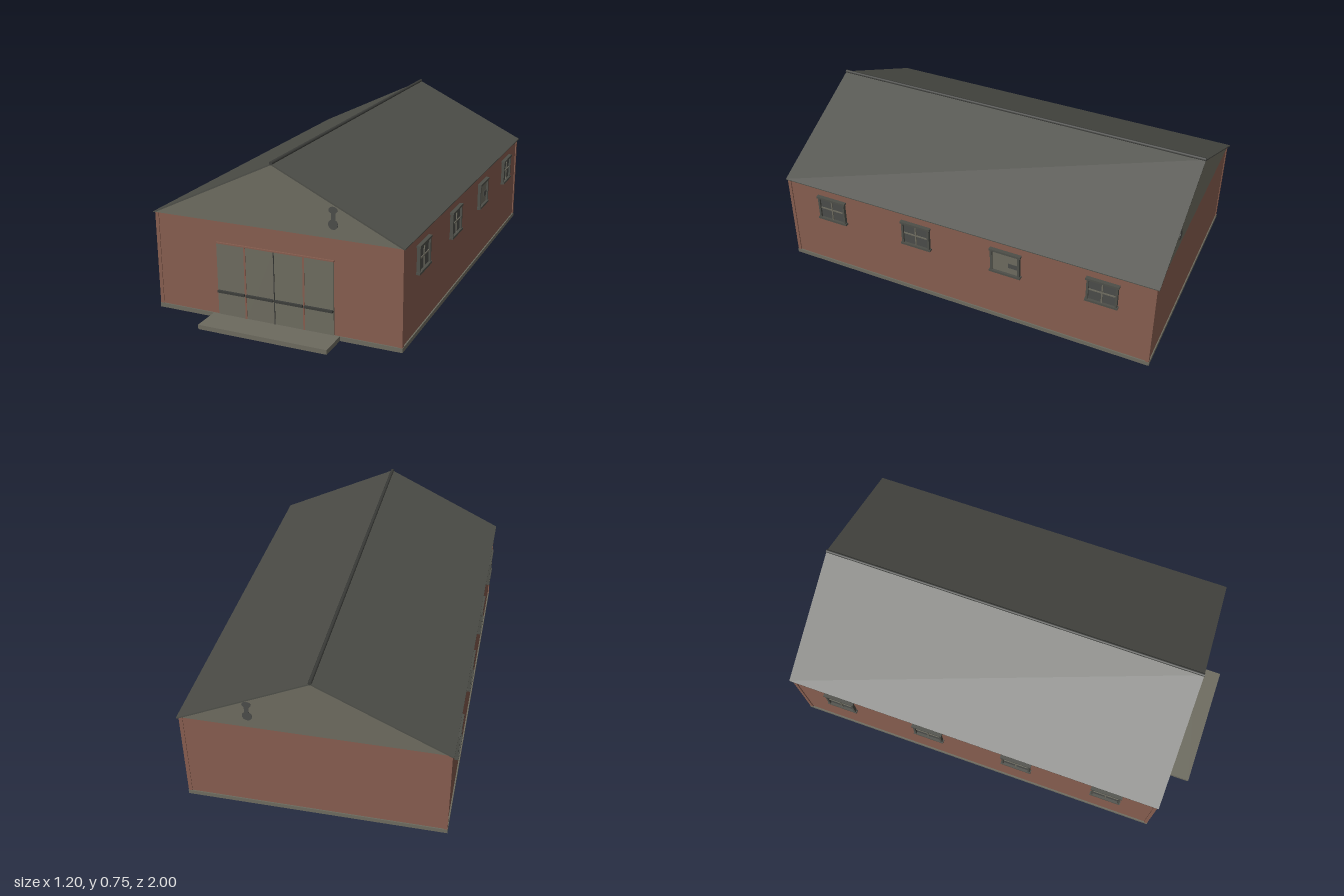
import * as THREE from 'three';

const mat = (name, color) => {
  const m = new THREE.MeshStandardMaterial({ color });
  m.name = name;
  return m;
};

export function createModel() {
  const brick = mat('brick', 0x855c4e);
  const stone = mat('stone', 0x6c6a5e);
  const slate = mat('slate', 0x4d4e48);
  const trim = mat('dark trim', 0x3b3c39);
  const glass = mat('dark glass', 0x4a4b48);

  const model = new THREE.Group();
  model.name = 'hall';
  const FRONT = 0.86, BACK = -0.985, EAVE = 0.455, PEAK = 0.738, HALF = 0.58;

  // Box given by its limits on each axis
  function box(name, material, x0, x1, y0, y1, z0, z1, parent = model) {
    const mesh = new THREE.Mesh(new THREE.BoxGeometry(x1 - x0, y1 - y0, z1 - z0), material);
    mesh.position.set((x0 + x1) / 2, (y0 + y1) / 2, (z0 + z1) / 2);
    mesh.name = name;
    parent.add(mesh);
    return mesh;
  }

  // Outline in x and y extruded from z0 to z1
  function prism(name, material, points, z0, z1) {
    const shape = new THREE.Shape(points.map(([x, y]) => new THREE.Vector2(x, y)));
    const geometry = new THREE.ExtrudeGeometry(shape, { depth: z1 - z0, bevelEnabled: false });
    const mesh = new THREE.Mesh(geometry, material);
    mesh.position.z = z0;
    mesh.name = name;
    model.add(mesh);
  }

  // Foundation and entrance step
  box('foundation', stone, -0.586, 0.586, 0, 0.02, -0.99, 0.865);
  box('entranceStep', stone, -0.305, 0.305, 0, 0.021, 0.865, 1);

  // Walls and corner posts
  box('walls', brick, -HALF, HALF, 0.02, EAVE, BACK, FRONT);
  for (const s of [-1, 1]) {
    for (const [z0, z1] of [[FRONT - 0.013, FRONT + 0.003], [BACK - 0.003, BACK + 0.013]]) {
      const x = s * 0.5765;
      box('cornerPost', brick, x - 0.0085, x + 0.0085, 0.02, EAVE, z0, z1);
    }
  }

  // Gables
  const gable = [[-0.585, EAVE], [0.585, EAVE], [0, PEAK]];
  prism('frontGable', stone, gable, FRONT - 0.02, FRONT + 0.003);
  prism('backGable', stone, gable, BACK - 0.003, BACK + 0.02);

  // Dark stain on each gable
  for (const z of [FRONT + 0.004, BACK - 0.004]) {
    for (const [y, r, h] of [[0.517, 0.022, 1], [0.579, 0.02, 0.75]]) {
      const spot = new THREE.Mesh(new THREE.CylinderGeometry(r, r, 0.003, 16), glass);
      spot.rotation.x = Math.PI / 2;
      spot.scale.z = h;
      spot.position.set(0.277, y, z);
      spot.name = 'gableStain';
      model.add(spot);
    }
    box('gableStain', glass, 0.268, 0.288, 0.53, 0.57, z - 0.001, z + 0.001);
  }

  // Thin pitched roof and ridge cap
  prism('roof', slate, [
    [-0.592, EAVE], [-0.585, EAVE], [0, PEAK], [0.585, EAVE],
    [0.592, EAVE], [0.592, EAVE + 0.004], [0, PEAK + 0.007], [-0.592, EAVE + 0.004],
  ], -0.998, 0.868);
  const ridge = new THREE.Mesh(new THREE.CylinderGeometry(0.008, 0.008, 1.868, 10), trim);
  ridge.rotation.x = Math.PI / 2;
  ridge.position.set(0, 0.746, -0.065);
  ridge.name = 'ridgeCap';
  model.add(ridge);

  // Entrance doors with lintel, posts and push bars
  const doors = new THREE.Group();
  doors.name = 'entranceDoors';
  model.add(doors);
  for (let i = 0; i < 4; i++) {
    const x = -0.28 + i * 0.14;
    box('doorPanel', stone, x + 0.002, x + 0.138, 0.021, 0.355, FRONT, 0.866, doors);
    box('pushBar', trim, x + 0.004, x + 0.136, 0.127, 0.137, 0.866, 0.877, doors);
  }
  for (const x of [-0.14, 0.14]) box('doorPost', brick, x - 0.004, x + 0.004, 0.021, 0.355, FRONT, 0.868, doors);
  box('doorSeam', trim, -0.002, 0.002, 0.021, 0.355, FRONT, 0.868, doors);
  box('doorLintel', brick, -0.28, 0.28, 0.354, 0.36, FRONT, 0.868, doors);

  // Side windows, built facing +x and turned round for the other wall
  function sideWindow(plain) {
    const w = new THREE.Group();
    w.name = 'window';
    box('pane', plain ? stone : glass, 0, 0.006, -0.06, 0.06, -0.07, 0.07, w);
    for (const s of [-1, 1]) {
      box('frameRail', slate, 0, 0.018, s * 0.06 - 0.005, s * 0.06 + 0.005, -0.077, 0.077, w);
      box('frameStile', slate, 0, 0.015, -0.06, 0.06, s * 0.067 - 0.005, s * 0.067 + 0.005, w);
    }
    if (plain) {
      box('paneStain', glass, 0.006, 0.008, -0.022, 0.002, -0.06, -0.015, w);
    } else {
      box('glazingBar', stone, 0.006, 0.01, -0.003, 0.003, -0.062, 0.062, w);
      box('glazingBar', stone, 0.006, 0.0105, -0.055, 0.055, -0.003, 0.003, w);
    }
    return w;
  }
  for (const s of [-1, 1]) {
    [0.62, 0.165, -0.29, -0.75].forEach((z, i) => {
      const w = sideWindow(s > 0 && i === 2);
      w.position.set(s * HALF, 0.346, z);
      if (s < 0) w.rotation.y = Math.PI;
      model.add(w);
    });
  }

  return model;
}
